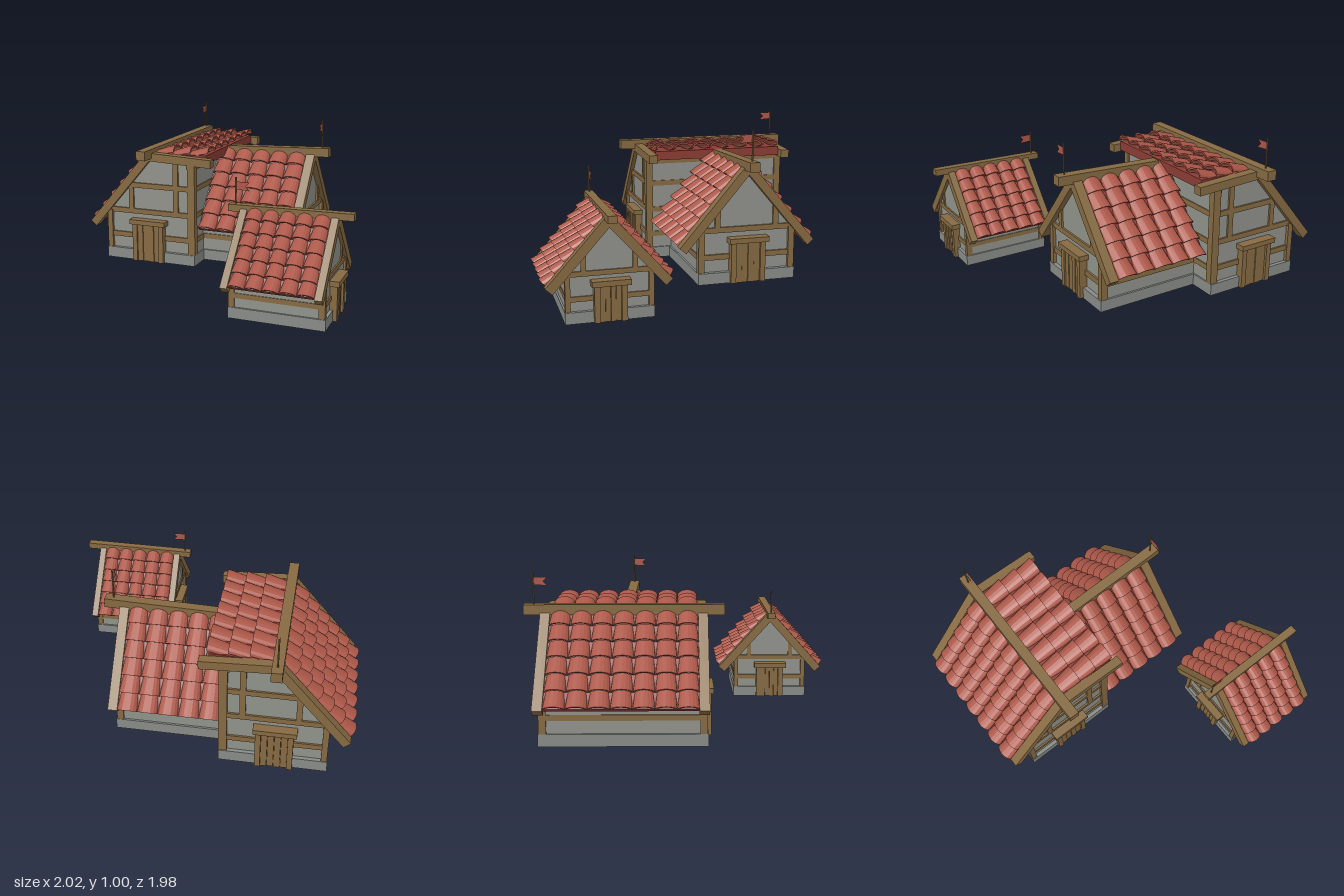
import * as THREE from 'three';
import { mergeGeometries } from 'three/addons/utils/BufferGeometryUtils.js';

const mat = (name, color) => {
  const m = new THREE.MeshStandardMaterial({ color });
  m.name = name;
  return m;
};

export function createModel() {
  const wood = mat('wood', 0x866a42);
  const plaster = mat('plaster', 0x90928b);
  const stone = mat('stone', 0x888b87);
  const tileRed = mat('tile red', 0xab5748);
  const underRoof = mat('roof underlay', 0x8a3c34);
  const flagRed = mat('flag red', 0xab5748);
  flagRed.side = THREE.DoubleSide;

  const add = (parent, name, geo, m) => {
    const mesh = new THREE.Mesh(geo, m);
    mesh.name = name;
    parent.add(mesh);
    return mesh;
  };
  // box given by its limits on each axis
  const box = (parent, name, m, x0, x1, y0, y1, z0, z1) => {
    const b = add(parent, name, new THREE.BoxGeometry(x1 - x0, y1 - y0, z1 - z0), m);
    b.position.set((x0 + x1) / 2, (y0 + y1) / 2, (z0 + z1) / 2);
    return b;
  };
  const shapeOf = pts => new THREE.Shape(pts.map(p => new THREE.Vector2(...p)));

  // arched roof tile, running down +z, narrower and lower at its upper end
  const tile = (w, len) => {
    const pts = [], n = 8, r = w / 2, h = 0.042, t = 0.011;
    for (let i = 0; i <= n; i++) {
      const a = Math.PI * i / n;
      pts.push([r * Math.cos(a), h * Math.sin(a)]);
    }
    for (let i = n; i >= 0; i--) {
      const a = Math.PI * i / n;
      pts.push([(r - t) * Math.cos(a), (h - t) * Math.sin(a)]);
    }
    const g = new THREE.ExtrudeGeometry(shapeOf(pts), { depth: len, bevelEnabled: false });
    const p = g.attributes.position;
    for (let i = 0; i < p.count; i++) {
      const k = p.getZ(i) / len;
      p.setXY(i, p.getX(i) * (0.86 + 0.14 * k), p.getY(i) * (0.8 + 0.2 * k) - 0.012 + 0.03 * k);
    }
    g.computeVertexNormals();
    return g;
  };

  // one roof side: descends towards side * x from the ridge
  const slope = (parent, o) => {
    const { side, y, run, drop, z0, z1, cols, rows, start = 0, thick = 0.03 } = o;
    const outer = new THREE.Group();
    outer.name = 'roofSide';
    outer.position.set(0, y, (z0 + z1) / 2);
    outer.rotation.y = side * Math.PI / 2;
    const g = new THREE.Group();
    g.rotation.x = Math.atan2(drop, run);
    outer.add(g);
    parent.add(outer);
    const L = Math.hypot(run, drop), W = z1 - z0, w = W / cols, pitch = (L - start) / rows;
    box(g, 'roofUnderlay', underRoof, -W / 2, W / 2, 0.012 - thick, 0.012, 0, L - 0.012);
    const list = [], one = tile(w, pitch + 0.012);
    for (let c = 0; c < cols; c++) for (let r = 0; r < rows; r++) {
      list.push(one.clone().translate(-W / 2 + (c + 0.5) * w, 0.01, start + r * pitch - 0.012));
    }
    add(g, 'roofTiles', mergeGeometries(list), tileRed);
  };

  // sloping gable board from the ridge to the eave
  const verge = (parent, x, y0, y1, z, width) => {
    const L = Math.hypot(x, y1 - y0);
    const b = add(parent, 'gableBoard', new THREE.BoxGeometry(L, 0.055, width), wood);
    b.position.set(x / 2, (y0 + y1) / 2, z);
    b.rotation.z = Math.atan2(y1 - y0, x);
  };

  // plank door with frame and lintel on a gable at z, facing dir
  const door = (parent, half, top, z, dir, y0) => {
    const g = new THREE.Group();
    g.name = 'door';
    g.position.z = z;
    if (dir < 0) g.rotation.y = Math.PI;
    parent.add(g);
    for (const s of [-1, 1]) {
      const x = s * (half - 0.017);
      box(g, 'doorPost', wood, x - 0.017, x + 0.017, y0, top, -0.03, 0.024);
    }
    const w = (half - 0.034) / 2;
    for (let i = -2; i < 2; i++) {
      box(g, 'doorPlank', wood, i * w + 0.001, (i + 1) * w - 0.001, y0, top, -0.03, 0.014 - 0.004 * (i & 1));
    }
    box(g, 'lintel', wood, -half - 0.015, half + 0.02, top - 0.005, top + 0.028, -0.03, 0.038);
  };

  // pole with a swallow-tailed pennant
  const flag = (parent, x, z, y0, y1, turn) => {
    const g = new THREE.Group();
    g.name = 'flag';
    g.position.set(x, 0, z);
    g.rotation.y = turn;
    parent.add(g);
    const pole = add(g, 'flagPole', new THREE.CylinderGeometry(0.005, 0.005, y1 - y0, 6), wood);
    pole.position.y = (y0 + y1) / 2;
    const t = y1 - 0.025;
    add(g, 'pennant', new THREE.ShapeGeometry(shapeOf(
      [[0, t], [0, t - 0.048], [0.085, t - 0.054], [0.06, t - 0.027], [0.085, t - 0.002]])), flagRed);
  };

  const wall = (parent, pts, z0, z1) =>
    add(parent, 'wall', new THREE.ExtrudeGeometry(shapeOf(pts), { depth: z1 - z0, bevelEnabled: false }), plaster)
      .position.z = z0;

  const house = (name, x, z, turn) => {
    const g = new THREE.Group();
    g.name = name;
    g.position.set(x, 0, z);
    g.rotation.y = turn;
    root.add(g);
    return g;
  };
  const root = new THREE.Group();
  root.name = 'village houses';

  // Main wing: ridge along z, steep left roof, nearly flat right roof
  const a = house('mainWing', -0.54, 0, 0);
  box(a, 'stoneBase', stone, -0.325, 0.34, 0.015, 0.09, -0.87, 0.13);
  wall(a, [[-0.31, 0.08], [0.33, 0.08], [0.33, 0.72], [0, 0.745], [-0.31, 0.375]], -0.845, 0.105);
  box(a, 'lowerRail', wood, -0.317, 0.337, 0.17, 0.205, -0.857, 0.117);
  box(a, 'middleRail', wood, -0.3, 0.337, 0.345, 0.38, -0.857, 0.117);
  box(a, 'upperRail', wood, -0.16, 0.337, 0.53, 0.565, -0.857, 0.117);
  box(a, 'wallPlate', wood, 0.28, 0.337, 0.685, 0.72, -0.857, 0.117);
  for (const [z0, z1] of [[0.08, 0.125], [-0.865, -0.82]]) {
    box(a, 'cornerPost', wood, -0.322, -0.285, 0.09, 0.36, z0, z1);
    box(a, 'cornerPost', wood, 0.29, 0.342, 0.09, 0.73, z0, z1);
  }
  box(a, 'stud', wood, -0.155, -0.12, 0.36, 0.56, -0.857, 0.117);
  box(a, 'stud', wood, 0.18, 0.217, 0.36, 0.725, -0.857, 0.117);
  slope(a, { side: -1, y: 0.755, run: 0.425, drop: 0.5, z0: -0.82, z1: 0.075, cols: 7, rows: 6 });
  slope(a, { side: 1, y: 0.757, run: 0.42, drop: -0.012, z0: -0.82, z1: 0.075, cols: 7, rows: 3, start: 0.045, thick: 0.06 });
  for (const z of [0.103, -0.85]) {
    verge(a, -0.43, 0.755, 0.25, z, 0.06);
    verge(a, 0.46, 0.755, 0.735, z, 0.06);
  }
  box(a, 'ridgeBeam', wood, -0.033, 0.033, 0.747, 0.81, -0.98, 0.235);
  door(a, 0.115, 0.285, 0.13, 1, 0.016);
  door(a, 0.115, 0.285, -0.87, -1, 0.016);
  flag(a, 0, -0.92, 0.8, 1, -Math.PI / 2);

  // Cross wing: ridge along world x
  const b = house('crossWing', 0, -0.365, Math.PI / 2);
  box(b, 'stoneBase', stone, -0.325, 0.325, 0.016, 0.089, -0.21, 0.49);
  wall(b, [[-0.312, 0.08], [0.312, 0.08], [0.312, 0.37], [0, 0.735], [-0.312, 0.37]], -0.21, 0.462);
  box(b, 'lowerRail', wood, -0.32, 0.32, 0.17, 0.205, -0.2, 0.475);
  box(b, 'middleRail', wood, -0.3, 0.3, 0.345, 0.38, -0.2, 0.475);
  for (const s of [-1, 1]) {
    box(b, 'cornerPost', wood, s * 0.303 - 0.02, s * 0.303 + 0.02, 0.088, 0.36, 0.44, 0.483);
    box(b, 'stud', wood, s * 0.195 - 0.018, s * 0.195 + 0.018, 0.36, 0.5, 0.44, 0.475);
    slope(b, { side: s, y: 0.75, run: 0.425, drop: 0.495, z0: -0.195, z1: 0.443, cols: 5, rows: 6 });
    verge(b, s * 0.43, 0.755, 0.25, 0.472, 0.06);
  }
  const ridgeB = box(b, 'ridgeBeam', wood, -0.033, 0.033, 0.735, 0.795, -0.12, 0.6);
  ridgeB.rotation.x = -0.035;
  door(b, 0.115, 0.285, 0.49, 1, 0.017);
  flag(b, 0, 0.545, 0.77, 1, Math.PI);

  // Small detached house, ridge along world x
  const c = house('smallHouse', 0, 0.61, Math.PI / 2);
  box(c, 'stoneBase', stone, -0.258, 0.258, 0, 0.068, 0.325, 0.91);
  wall(c, [[-0.247, 0.06], [0.247, 0.06], [0.247, 0.3], [0, 0.57], [-0.247, 0.3]], 0.342, 0.89);
  box(c, 'lowerRail', wood, -0.252, 0.252, 0.125, 0.155, 0.333, 0.899);
  box(c, 'middleRail', wood, -0.235, 0.235, 0.27, 0.3, 0.333, 0.899);
  for (const s of [-1, 1]) {
    for (const [z0, z1] of [[0.328, 0.365], [0.868, 0.905]]) {
      box(c, 'cornerPost', wood, s * 0.24 - 0.015, s * 0.24 + 0.015, 0.066, 0.29, z0, z1);
    }
    box(c, 'stud', wood, s * 0.148 - 0.015, s * 0.148 + 0.015, 0.285, 0.4, 0.333, 0.899);
    slope(c, { side: s, y: 0.585, run: 0.335, drop: 0.38, z0: 0.36, z1: 0.868, cols: 5, rows: 6 });
    for (const z of [0.338, 0.89]) verge(c, s * 0.345, 0.585, 0.2, z, 0.044);
  }
  const ridgeC = box(c, 'ridgeBeam', wood, -0.026, 0.026, 0.582, 0.624, 0.24, 1);
  ridgeC.rotation.x = -0.013;
  door(c, 0.095, 0.22, 0.91, 1, 0.001);
  door(c, 0.095, 0.22, 0.325, -1, 0.001);
  flag(c, 0, 0.28, 0.6, 0.78, -Math.PI / 2);

  return root;
}
